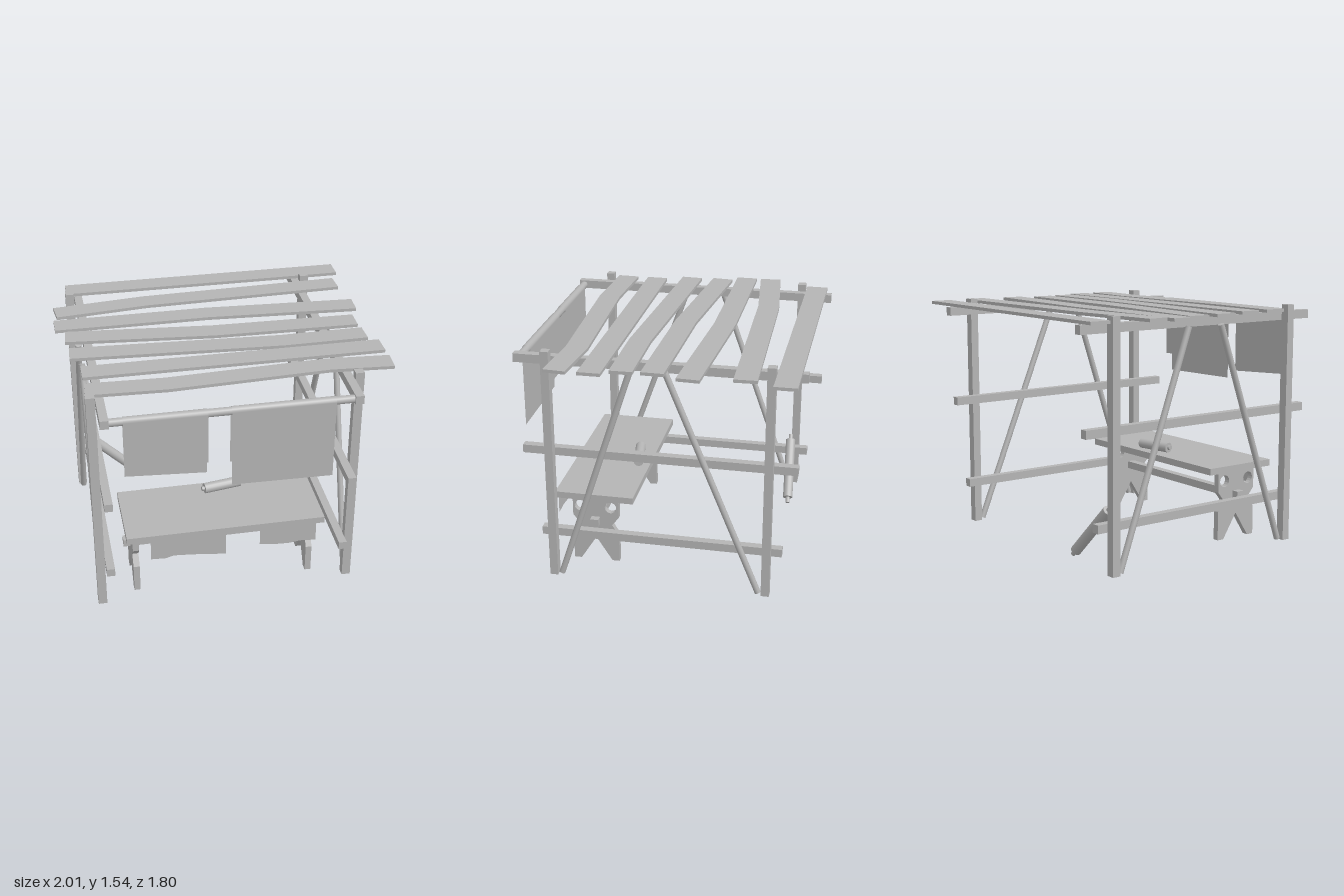
import * as THREE from 'three';

const grey = new THREE.MeshStandardMaterial({ color: 0xb4b4b4 });
grey.name = 'grey wood';
const clothGrey = grey.clone();
clothGrey.name = 'grey cloth';
clothGrey.side = THREE.DoubleSide;

const V = (x, y, z) => new THREE.Vector3(x, y, z);

export function createModel() {
  const model = new THREE.Group();
  model.name = 'marketStall';

  const add = (name, geometry, parent = model, material = grey) => {
    const mesh = new THREE.Mesh(geometry, material);
    mesh.name = name;
    parent.add(mesh);
    return mesh;
  };

  // Box given by its limits on each axis
  const box = (name, x0, x1, y0, y1, z0, z1, parent) =>
    add(name, new THREE.BoxGeometry(x1 - x0, y1 - y0, z1 - z0), parent)
      .position.set((x0 + x1) / 2, (y0 + y1) / 2, (z0 + z1) / 2);

  // Round bar between two points
  const rod = (name, a, b, r, parent, sides = 12) => {
    const mesh = add(name, new THREE.CylinderGeometry(r, r, a.distanceTo(b), sides), parent);
    mesh.position.copy(a).add(b).multiplyScalar(0.5);
    mesh.quaternion.setFromUnitVectors(V(0, 1, 0), b.clone().sub(a).normalize());
  };

  // Corner posts
  for (const x of [-0.867, 0.753])
    for (const z of [0.685, -0.69]) box('post', x - 0.028, x + 0.028, 0, 1.54, z - 0.026, z + 0.026);

  // Side rails, inside the posts
  for (const x of [-0.808, 0.7]) {
    box('topRail', x - 0.026, x + 0.026, 1.44, 1.495, -0.9, 0.9);
    box('middleRail', x - 0.026, x + 0.026, 0.835, 0.888, -0.863, 0.867);
    box('lowerRail', x - 0.026, x + 0.026, 0.262, 0.315, -0.782, 0.767);
  }

  // Slanted braces: x, front top z, back top z, top height
  for (const [x, front, back, y] of [[0.755, 0.147, -0.035, 1.495], [-0.864, 0.125, -0.13, 1.445]]) {
    rod('frontBrace', V(x, 0.01, 0.637), V(x, y, front), 0.02);
    rod('backBrace', V(x, 0.01, -0.642), V(x, y, back), 0.02);
  }

  // Roof planks, each a strip around a bent centre line of [x, z] points
  const planks = [
    [1.497, [-0.885, -0.795], [1, -0.795]],
    [1.503, [-0.982, -0.453], [-0.38, -0.518], [0.947, -0.56]],
    [1.497, [-1, -0.282], [0, -0.286], [0.985, -0.232]],
    [1.497, [-0.945, -0.115], [0, -0.03], [0.93, -0.012]],
    [1.497, [-0.937, 0.105], [0.4, 0.18], [0.94, 0.173]],
    [1.497, [-0.885, 0.35], [1, 0.35]],
    [1.497, [-0.885, 0.56], [-0.4, 0.58], [0.6, 0.53], [1, 0.558]],
  ];
  for (const [y, ...line] of planks) {
    const edge = (side) => line.map((p, i) => {
      const a = line[Math.max(i - 1, 0)], b = line[Math.min(i + 1, line.length - 1)];
      const d = new THREE.Vector2(b[0] - a[0], b[1] - a[1]).normalize();
      return new THREE.Vector2(p[0] - d.y * 0.07 * side, p[1] + d.x * 0.07 * side);
    });
    const shape = new THREE.Shape([...edge(-1), ...edge(1).reverse()]);
    const geometry = new THREE.ExtrudeGeometry(shape, { depth: 0.02, bevelEnabled: false });
    add('roofPlank', geometry.rotateX(Math.PI / 2)).position.y = y + 0.02;
  }

  // Front bar with two hanging cloths
  const barY = 1.463, barZ = 0.868, wrap = 0.028;
  rod('clothBar', V(-0.785, barY, barZ), V(0.675, barY, barZ), 0.025, model, 16);

  // Cloth over the bar; bottoms are [left end, right end] heights
  const hangingCloth = (x0, x1, front, back) => {
    const rows = [0, 1].map((k) => {
      const pts = [[front[k], barZ + wrap]];
      for (let i = 0; i <= 8; i++) {
        const a = (i / 8) * Math.PI;
        pts.push([barY + Math.sin(a) * wrap, barZ + Math.cos(a) * wrap]);
      }
      pts.push([back[k], barZ - wrap]);
      return pts;
    });
    sheet('hangingCloth', rows[0].map(([y, z]) => V(x0, y, z)), rows[1].map(([y, z]) => V(x1, y, z)));
  };

  // Thin surface between two matching rows of points
  const sheet = (name, rowA, rowB, parent) => {
    const n = rowA.length, index = [];
    for (let i = 0; i < n - 1; i++) index.push(i, n + i, i + 1, i + 1, n + i, n + i + 1);
    const geometry = new THREE.BufferGeometry().setFromPoints([...rowA, ...rowB]);
    geometry.setIndex(index);
    geometry.computeVertexNormals();
    add(name, geometry, parent, clothGrey);
  };
  hangingCloth(-0.7, -0.205, [1.165, 1.137], [1.06, 1.03]);
  hangingCloth(-0.065, 0.56, [0.96, 0.95], [1.09, 1.08]);

  // Work table
  const table = new THREE.Group();
  table.name = 'table';
  model.add(table);
  box('tableTop', -0.695, 0.582, 0.457, 0.5, 0.202, 0.718, table);
  box('stretcher', -0.695, 0.582, 0.268, 0.318, 0.435, 0.49, table);

  // Waisted board legs: half outline as [offset from centre, y], mirrored
  const half = [[0, 0.165], [0.105, 0], [0.153, 0], [0.153, 0.19], [0.108, 0.265], [0.153, 0.32], [0.153, 0.457]];
  const outline = [
    ...half.map(([u, y]) => new THREE.Vector2(0.463 + u, y)),
    ...half.slice(1).reverse().map(([u, y]) => new THREE.Vector2(0.463 - u, y)),
  ];
  const board = new THREE.Shape(outline);
  for (const z of [0.363, 0.565]) {
    const hole = new THREE.Path();
    hole.absarc(z, 0.39, 0.039, 0, Math.PI * 2, true);
    board.holes.push(hole);
  }
  const legGeometry = new THREE.ExtrudeGeometry(board, { depth: 0.04, bevelEnabled: false, curveSegments: 8 });
  legGeometry.rotateY(-Math.PI / 2);
  for (const x of [-0.61, 0.535]) add('tableLeg', legGeometry, table).position.x = x;

  // Cloths hanging from the front of the table, lower edge as [x, y]
  const drapes = [
    [[-0.545, 0.315], [-0.45, 0.31], [-0.4, 0.325], [-0.3, 0.318], [-0.2, 0.308], [-0.06, 0.29]],
    [[0.16, 0.337], [0.26, 0.322], [0.35, 0.318], [0.43, 0.328], [0.53, 0.32]],
  ];
  for (const lower of drapes)
    sheet('tableCloth', lower.map(([x, y]) => V(x, y, 0.712)), lower.map(([x]) => V(x, 0.458, 0.712)), table);

  // Rollers with a short grip at each end
  const roller = (a, b, grip) => {
    const group = new THREE.Group();
    group.name = 'roller';
    model.add(group);
    const d = b.clone().sub(a).setLength(grip);
    rod('rollerBody', a.clone().add(d), b.clone().sub(d), 0.034, group, 16);
    rod('rollerGrips', a, b, 0.015, group, 10);
  };
  roller(V(-0.147, 0.535, 0.315), V(0.132, 0.535, 0.268), 0.018);
  roller(V(-0.803, 0.405, -0.66), V(-0.44, 0.035, -0.69), 0.04);

  return model;
}
